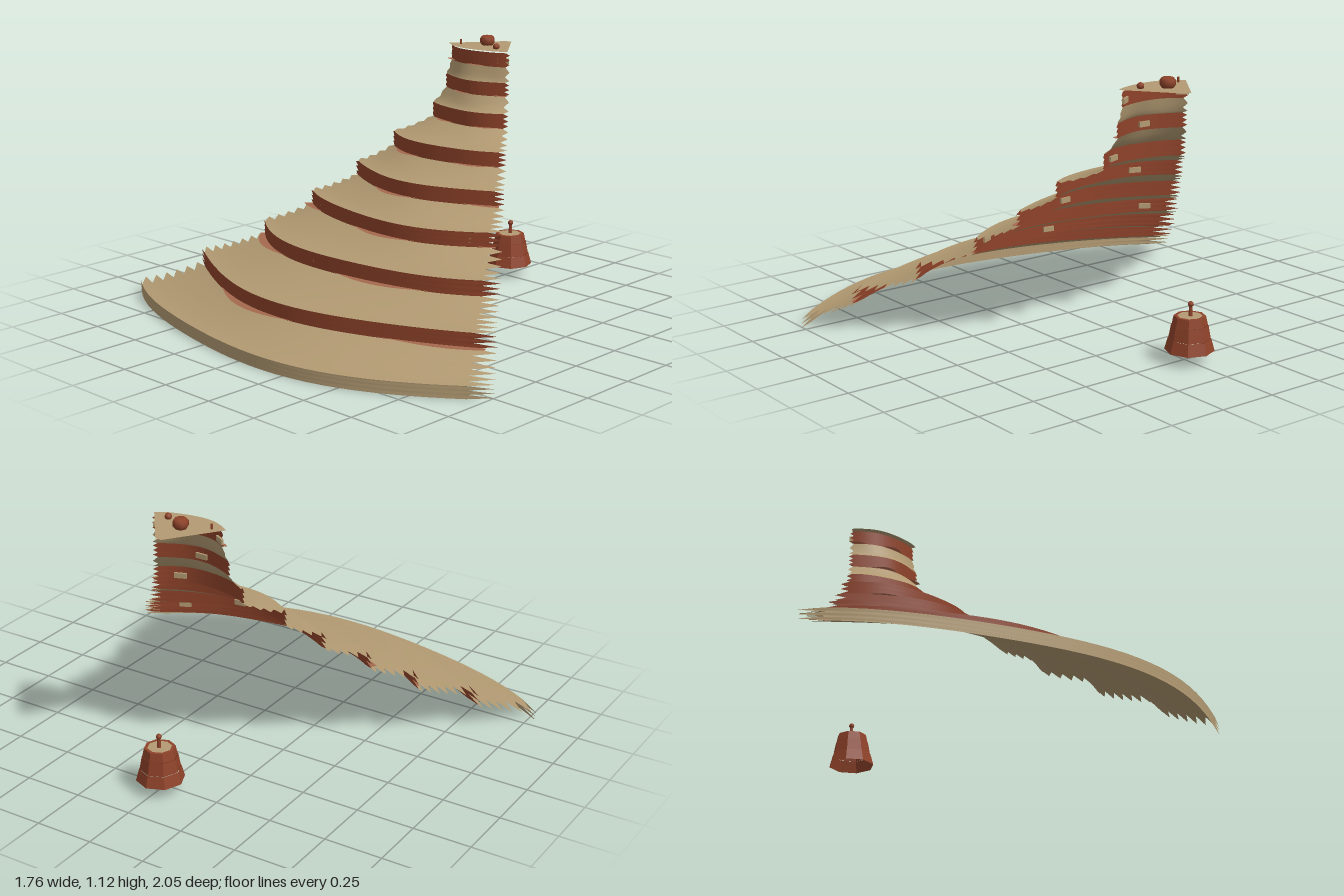
import * as THREE from 'three';

const APEX = 0.77;                 // x of the point all terraces fan out from
const MID = THREE.MathUtils.degToRad(36.6);
const JAG = THREE.MathUtils.degToRad(1.9);
const RADII = [1.65, 1.40, 1.12, 0.89, 0.70, 0.535, 0.35, 0.295, 0.272];
const BASES = [0, 0.12, 0.245, 0.375, 0.50, 0.63, 0.755, 0.885, 1.01];
const TOPS = [0.052, 0.182, 0.31, 0.438, 0.565, 0.695, 0.82, 0.945, 1.072];
const LEDGE_CENTRES = [0, -0.16, -0.5, 0.05, -0.09, -0.3, -0.3, -0.1, 0.1];

const material = (name, color, side = THREE.DoubleSide) => {
  const m = new THREE.MeshStandardMaterial({ color, side });
  m.name = name;
  return m;
};

// slightly wavy radius of terrace i at angle a
const radius = (i, a) => RADII[i] * (1 + 0.011 * Math.sin(7 * a + i * 2));

// open fan-shaped sheet; profile(t, angle) gives [radius, height]
function fanSheet(rows, profile, jag = JAG, cols = 28) {
  const pos = [], index = [];
  for (let j = 0; j <= rows; j++) {
    const half = MID + (j % 2 ? jag : -jag);
    for (let k = 0; k <= cols; k++) {
      const a = (k / cols * 2 - 1) * half;
      const [r, y] = profile(j / rows, a);
      pos.push(APEX - r * Math.cos(a), y, r * Math.sin(a));
    }
  }
  const w = cols + 1;
  for (let j = 0; j < rows; j++) {
    for (let k = 0; k < cols; k++) {
      const p = j * w + k;
      index.push(p, p + 1, p + w, p + 1, p + w + 1, p + w);
    }
  }
  const g = new THREE.BufferGeometry();
  g.setAttribute('position', new THREE.Float32BufferAttribute(pos, 3));
  g.setIndex(index);
  g.computeVertexNormals();
  return g;
}

export function createModel() {
  const model = new THREE.Group();
  const tan = material('tan', 0xb29a72);
  const red = material('brickRed', 0x8e4229);
  const pale = material('paleClay', 0xa5694e);

  const add = (name, geometry, mat, x = 0, y = 0, z = 0, parent = model) => {
    const mesh = new THREE.Mesh(geometry, mat);
    mesh.name = name;
    mesh.position.set(x, y, z);
    parent.add(mesh);
    return mesh;
  };

  RADII.forEach((R, i) => {
    // upright band
    add(i ? 'terraceWall' : 'baseRim', fanSheet(6, (t, a) =>
      [radius(i, a), BASES[i] + t * (TOPS[i] - BASES[i])]), i ? red : tan);

    // curved slope climbing to the next band
    if (i < RADII.length - 1) {
      const rows = Math.max(4, 2 * Math.round((R - RADII[i + 1]) / 0.042));
      add('terraceSlope', fanSheet(rows, (t, a) => [
        THREE.MathUtils.lerp(radius(i, a), radius(i + 1, a), t),
        THREE.MathUtils.lerp(TOPS[i], BASES[i + 1], t ** 1.5),
      ]), tan);
    }

    // wavy ledge at the foot of each wall
    if (i) {
      const depth = 0.012 + 0.026 * Math.min(1, R);
      add('wallLedge', fanSheet(1, (t, a) => {
        const swell = Math.max(0, Math.cos(9 * (a - LEDGE_CENTRES[i])) + 0.2) / 1.2;
        return [radius(i, a) + (1 - t) * depth * swell, BASES[i] + 0.003];
      }, 0), pale);
    }
  });

  // small plates on the inner wall faces: terrace, z
  [[2, -0.15], [3, 0.42], [3, -0.43], [4, 0.075], [5, -0.15],
    [6, 0.12], [7, -0.01], [8, 0.145], [8, -0.15]].forEach(([i, z]) => {
    const a = Math.asin(z / RADII[i]);
    const r = radius(i, a) - 0.007;
    const plate = add('wallPlate', new THREE.BoxGeometry(0.009, 0.022, 0.052), tan,
      APEX - r * Math.cos(a), (BASES[i] + TOPS[i]) / 2 - 0.004, r * Math.sin(a));
    plate.rotation.y = a;
  });

  // flat wedge roof
  add('roofPlate', fanSheet(1, (t, a) =>
    [THREE.MathUtils.lerp(radius(8, a) + 0.014, 0.02, t), 1.08], 0), tan);

  // rooftop fittings
  add('roofBarrel', new THREE.LatheGeometry([
    [0, 0], [0.024, 0], [0.032, 0.012], [0.032, 0.03], [0.024, 0.041], [0, 0.041],
  ].map(p => new THREE.Vector2(...p)), 8), red, 0.617, 1.08, -0.01);
  add('roofKnob', new THREE.SphereGeometry(0.015, 8, 6), red, 0.565, 1.09, 0.085);
  add('roofPeg', new THREE.CylinderGeometry(0.005, 0.005, 0.026, 6), red, 0.56, 1.088, -0.115);

  // separate tiered bell with a finial
  const bell = new THREE.Group();
  bell.name = 'bell';
  bell.position.set(0.78, 0.05, 0);
  model.add(bell);
  [[0, 0.05, 0.1, 0.086], [0.05, 0.105, 0.084, 0.074], [0.105, 0.142, 0.072, 0.064]]
    .forEach(([y0, y1, rBottom, rTop]) => {
      const g = new THREE.CylinderGeometry(rTop, rBottom, y1 - y0, 8, 1, true).toNonIndexed();
      g.computeVertexNormals();
      add('bellTier', g, red, 0, (y0 + y1) / 2, 0, bell);
    });
  const ring = (name, inner, outer, mat, y) => {
    const g = new THREE.RingGeometry(inner, outer, 8);
    g.rotateX(-Math.PI / 2);
    g.rotateY(Math.PI / 2);
    add(name, g, mat, 0, y, 0, bell);
  };
  ring('bellTopRim', 0.05, 0.064, red, 0.142);
  ring('bellTop', 0, 0.05, tan, 0.142);
  add('finial', new THREE.CylinderGeometry(0.007, 0.009, 0.045, 6), red, 0.004, 0.163, 0, bell);
  add('finialTip', new THREE.SphereGeometry(0.012, 8, 6), red, 0.004, 0.19, 0, bell);

  return model;
}
